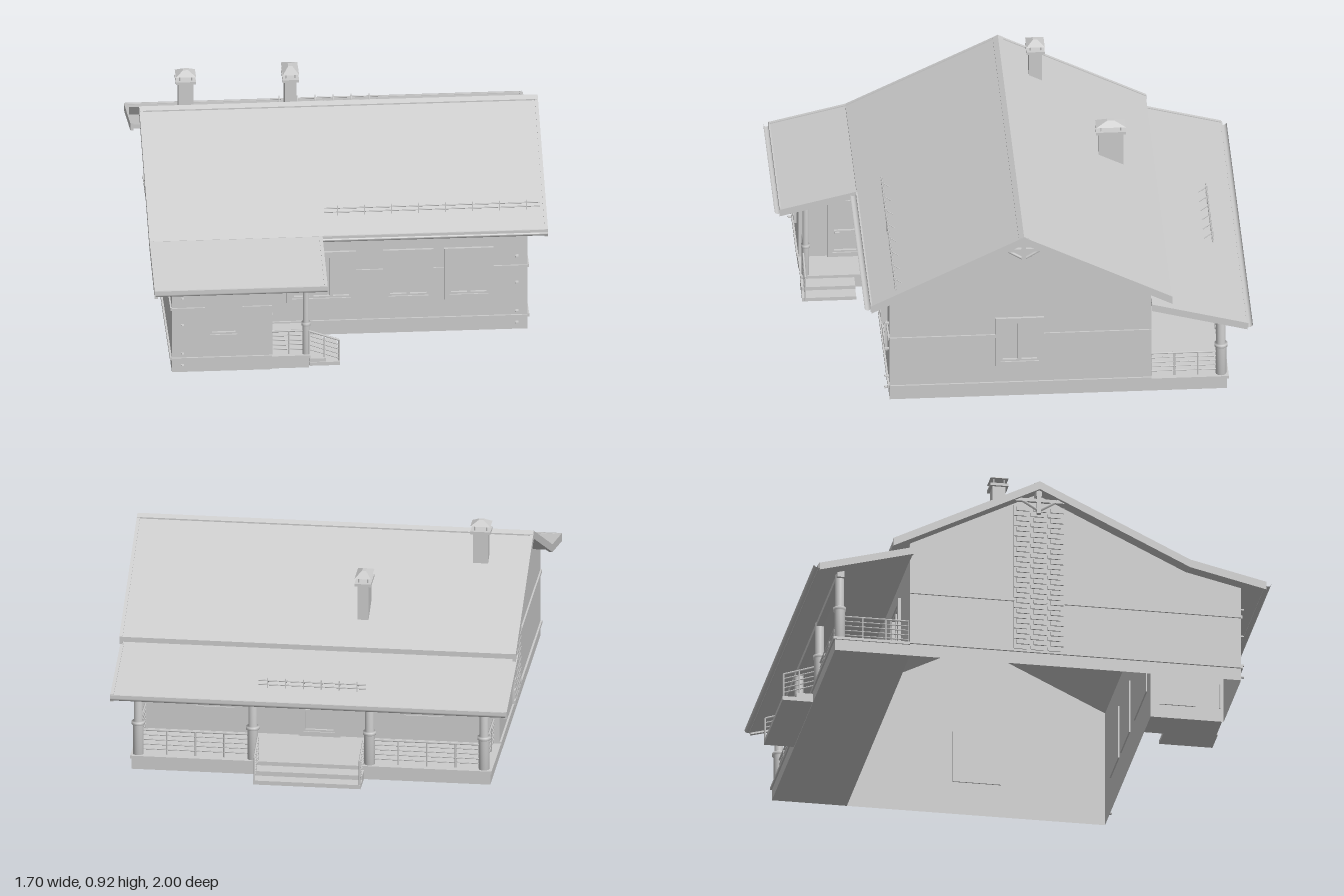
import * as THREE from 'three';
import { mergeGeometries } from 'three/addons/utils/BufferGeometryUtils.js';

const solid = new THREE.MeshStandardMaterial({ color: 0xcccccc });
const thin = new THREE.MeshStandardMaterial({ color: 0xcccccc, side: THREE.DoubleSide });

// Height of the main roof's upper surface at depth z
const roofY = z => z < 0 ? 0.82 + z * 0.5 : z < 0.65 ? 0.82 - z * 0.483 : 0.506 - (z - 0.65) * 0.235;
const V = (x, y, z) => new THREE.Vector3(x, y, z);

const box = (x0, x1, y0, y1, z0, z1) =>
  new THREE.BoxGeometry(x1 - x0, y1 - y0, z1 - z0).translate((x0 + x1) / 2, (y0 + y1) / 2, (z0 + z1) / 2);

// Round bar between two points
function bar(a, b, r = 0.003, sides = 6) {
  const d = b.clone().sub(a);
  const g = new THREE.CylinderGeometry(r, r, d.length(), sides);
  g.applyQuaternion(new THREE.Quaternion().setFromUnitVectors(V(0, 1, 0), d.normalize()));
  return g.translate((a.x + b.x) / 2, (a.y + b.y) / 2, (a.z + b.z) / 2);
}

// Profile given as [z, y], extruded from x0 to x1
function extrudeX(pts, x0, x1) {
  const s = new THREE.Shape(pts.map(([z, y]) => new THREE.Vector2(-z, y)));
  return new THREE.ExtrudeGeometry(s, { depth: x1 - x0, bevelEnabled: false }).rotateY(Math.PI / 2).translate(x0, 0, 0);
}
const slab = (line, t, x0, x1) =>
  extrudeX([...line, ...line.slice().reverse().map(([z, y]) => [z, y - t])], x0, x1);

export function createModel() {
  const house = new THREE.Group();
  const add = (name, geos, mat = solid) => {
    const list = [].concat(geos).map(g => g.index ? g.toNonIndexed() : g);
    const m = new THREE.Mesh(mergeGeometries(list), mat);
    m.name = name;
    house.add(m);
  };

  // Wall: outline in its own plane [u, v] with openings [u0, u1, v0, v1, panes, isDoor], turned and moved into place
  function wall(name, outline, openings, turn, x, z) {
    const place = g => g.rotateY(turn).translate(x, 0, z);
    const s = new THREE.Shape(outline.map(p => new THREE.Vector2(...p)));
    const frames = [], panes = [];
    for (const [u0, u1, v0, v1, n, isDoor] of openings) {
      const f = 0.022;
      const rect = (e, C) => new C([[u0 + e, v0 + e], [u1 - e, v0 + e], [u1 - e, v1 - e], [u0 + e, v1 - e]].map(p => new THREE.Vector2(...p)));
      s.holes.push(rect(f * 0.7, THREE.Path));
      const trim = rect(0, THREE.Shape);
      trim.holes.push(rect(f, THREE.Path));
      frames.push(new THREE.ExtrudeGeometry(trim, { depth: 0.018, bevelEnabled: false }).translate(0, 0, -0.006).toNonIndexed?.() ?? trim);
      panes.push(new THREE.PlaneGeometry(u1 - u0 - f, v1 - v0 - f).translate((u0 + u1) / 2, (v0 + v1) / 2, -0.008));
      const w = (u1 - u0 - 2 * f) / n;
      for (let i = 0; i < n; i++) {
        const a = u0 + f + i * w, b = a + w, e = 0.008, c = v0 + f, d = v1 - f;
        frames.push(box(a, a + e, c, d, -0.006, 0.006), box(b - e, b, c, d, -0.006, 0.006),
          box(a, b, c, c + e, -0.006, 0.006), box(a, b, d - e, d, -0.006, 0.006));
        if (isDoor) frames.push(box(a, b, c + 0.09, c + 0.105, -0.006, 0.006), box(a + 0.008, a + 0.03, 0.175, 0.182, 0, 0.016));
      }
    }
    add(name, place(new THREE.ShapeGeometry(s)), thin);
    if (frames.length) {
      add(name + 'Frames', frames.map(g => place(g)));
      add(name + 'Panes', panes.map(g => place(g)), thin);
    }
  }
  const under = z => roofY(z) - 0.02;
  const [L, R, M, F, W, B] = [-0.77, 0.765, -0.345, 0.567, 0.882, -0.547];

  // Walls, open underneath
  wall('frontWall', [[M, 0], [R, 0], [R, under(F)], [M, under(F)]],
    [[-0.26, 0.035, 0.155, 0.395, 3], [0.15, 0.365, 0.155, 0.395, 2], [0.41, 0.62, 0.155, 0.395, 2]], 0, 0, F);
  wall('wingFrontWall', [[L, 0], [M, 0], [M, under(W)], [L, under(W)]], [[-0.63, -0.47, 0.155, 0.395, 1]], 0, 0, W);
  wall('leftGableWall', [[-F, 0], [-B, 0], [-B, under(B)], [0, 0.8], [-F, under(F)]],
    [[-0.118, 0.09, 0.15, 0.385, 2]], Math.PI / 2, R, 0);
  wall('wingSideWall', [[-W, 0], [-F, 0], [-F, under(F)], [-0.65, under(0.65)], [-W, under(W)]],
    [[-0.76, -0.605, 0.06, 0.335, 1, true]], Math.PI / 2, M, 0);
  wall('rightGableWall', [[B, 0], [W, 0], [W, under(W)], [0.65, under(0.65)], [0, 0.8], [B, under(B)]], [], -Math.PI / 2, L, 0);
  wall('backWall', [[-R, 0], [-L, 0], [-L, under(B)], [-R, under(B)]],
    [[-0.09, 0.09, 0.06, 0.36, 1, true], [-0.55, -0.34, 0.155, 0.37, 2], [0.34, 0.55, 0.155, 0.37, 2]], Math.PI, 0, B);

  // Plinth ledge and mid-height band around the walls, interrupted by windows
  const trims = [];
  const along = (y, h, t) => {
    const hi = y > 0.2;
    for (const [a, b] of hi ? [[M, -0.26], [0.035, 0.15], [0.365, 0.41], [0.62, R]] : [[M, R]]) trims.push(box(a, b, y, y + h, F, F + t));
    for (const [a, b] of hi ? [[L, -0.63], [-0.47, M]] : [[L, M]]) trims.push(box(a, b, y, y + h, W, W + t));
    for (const [a, b] of hi ? [[B, -0.09], [0.118, F]] : [[B, F]]) trims.push(box(R, R + t, y, y + h, a, b));
    trims.push(box(L - t, L, y, y + h, B, W));
  };
  along(0.055, 0.014, 0.008);
  along(0.29, 0.014, 0.007);
  add('wallBands', trims);

  // Brick facing up the right gable
  const bricks = [box(L - 0.006, L, 0.06, 0.74, -0.1, 0.12)];
  for (let i = 0; i < 28; i++) for (let j = 0; j < 3; j++) {
    const z = -0.1 + j * 0.0733 + (i % 2) * 0.012;
    bricks.push(box(L - 0.013, L - 0.005, 0.065 + i * 0.024, 0.083 + i * 0.024, z, z + 0.055));
  }
  add('brickFacing', bricks);

  // Roof slabs with raised edge boards
  const X0 = -0.848, X1 = 0.845, XW = -0.115;
  const at = z => [z, roofY(z)];
  const back = [[-0.545, 0.468], [-0.95, 0.362]];
  add('mainRoof', [slab([at(-0.63), at(0), at(0.649)], 0.022, X0, X1)]);
  add('wingRoof', slab([at(0.65), at(0.975)], 0.02, X0, XW));
  add('verandaRoof', slab(back, 0.02, X0, X1));
  const lift = line => line.map(([z, y]) => [z, y + 0.004]);
  add('edgeBoards', [
    slab(lift([at(-0.632), at(0), at(0.649), at(0.977)]), 0.036, X0 - 0.002, X0 + 0.012),
    slab(lift([at(-0.632), at(0), at(0.649)]), 0.036, X1 - 0.012, X1 + 0.002),
    slab(lift([at(0.65), at(0.977)]), 0.032, XW - 0.012, XW + 0.002),
    slab(lift(back), 0.032, X0 - 0.002, X0 + 0.012),
    slab(lift(back), 0.032, X1 - 0.012, X1 + 0.002)]);
  add('ridgeCap', slab([[-0.022, 0.815], [0, 0.826], [0.022, 0.815]], 0.012, X0, X1));

  // Half-round gutters
  const gutter = (x0, x1, y, z) =>
    new THREE.CylinderGeometry(0.014, 0.014, x1 - x0, 10, 1, true, 0, Math.PI)
      .rotateZ(Math.PI / 2).rotateX(Math.PI / 2).rotateX(-Math.PI / 2)
      .scale(1, -1, 1).translate((x0 + x1) / 2, y, z);
  const gutters = [[XW, X1, 0.503, 0.665], [X0, XW, 0.426, 0.985], [X0, X1, 0.358, -0.96]];
  add('gutters', gutters.map(([a, b, y, z]) => {
    const g = gutter(a, b, y, z);
    g.computeBoundingBox();
    // Keep the bowl below the rim
    if (g.boundingBox.max.y > y + 0.005) g.translate(0, -y, 0).scale(1, -1, 1).translate(0, y, 0);
    return g;
  }), thin);
  add('fasciaBoards', [box(XW, X1, 0.482, 0.508, 0.645, 0.653), box(X0, XW, 0.408, 0.432, 0.97, 0.977), box(X0, X1, 0.342, 0.364, -0.955, -0.948)]);

  // Snow guards: rails on short brackets
  const guards = [];
  const guard = (x0, x1, y, z, n) => {
    for (const h of [0.012, 0.03]) guards.push(bar(V(x0, y + h, z), V(x1, y + h, z), 0.003));
    for (let i = 0; i < n; i++) {
      const x = x0 + (x1 - x0) * (i + 0.5) / n;
      guards.push(box(x - 0.002, x + 0.002, y - 0.005, y + 0.042, z - 0.004, z + 0.004));
      guards.push(bar(V(x, y + 0.035, z), V(x, y + 0.01, z - Math.sign(z) * 0.035), 0.002));
    }
  };
  guard(-0.1, 0.82, roofY(0.545), 0.545, 8);
  guard(-0.235, 0.225, 0.39, -0.845, 6);
  add('snowGuards', guards);

  // Gable braces and ridge beam
  const braces = [box(X0 + 0.02, X1 - 0.02, 0.765, 0.795, -0.012, 0.012)];
  for (const x of [0.815, -0.82]) {
    braces.push(box(x - 0.009, x + 0.009, 0.685, 0.8, -0.009, 0.009), box(x - 0.007, x + 0.007, 0.738, 0.752, -0.11, 0.11));
    for (const s of [-1, 1]) braces.push(bar(V(x, 0.7, 0), V(x, 0.752, s * 0.085), 0.007));
  }
  add('gableBraces', braces);

  // Chimneys with flared collar and hipped cap
  const chimney = (name, x, z, w, d, y0, y1) => {
    const parts = [box(x - w / 2, x + w / 2, y0, y1, z - d / 2, z + d / 2)];
    const c = 0.011;
    parts.push(box(x - w / 2 - c, x + w / 2 + c, y1 - 0.012, y1, z - d / 2 - c, z + d / 2 + c));
    for (const sx of [-1, 1]) for (const sz of [-1, 1]) {
      const px = x + sx * w * 0.4, pz = z + sz * d * 0.4;
      parts.push(bar(V(px, y1, pz), V(px, y1 + 0.024, pz), 0.003));
    }
    const hip = new THREE.CylinderGeometry(0.25 * Math.SQRT1_2, Math.SQRT1_2, 0.02, 4).toNonIndexed();
    hip.rotateY(Math.PI / 4).scale(w + 2 * c, 1, d + 2 * c).translate(x, y1 + 0.033, z);
    hip.computeVertexNormals();
    parts.push(hip);
    add(name, parts);
  };
  chimney('tallChimney', -0.643, -0.145, 0.064, 0.056, 0.7, 0.88);
  chimney('wideChimney', -0.178, -0.436, 0.048, 0.105, 0.55, 0.742);

  // Veranda, porch and their steps
  add('verandaFloor', [box(L, R, 0, 0.05, -0.87, B), box(L - 0.006, R + 0.006, 0.05, 0.062, -0.877, B)]);
  add('verandaSteps', [box(-0.23, 0.23, 0.022, 0.042, -0.94, -0.87), box(-0.23, 0.23, 0.004, 0.022, -1.0, -0.87)]);
  add('porchFloor', [box(M, -0.185, 0, 0.05, F, 0.875), box(M, -0.18, 0.05, 0.062, F, 0.885)]);
  add('porchSteps', [box(-0.185, -0.115, 0.03, 0.046, 0.655, 0.885), box(-0.185, -0.055, 0.012, 0.028, 0.655, 0.885)]);

  // Turned posts with a thicker foot and a collar
  const post = (x, z, top, r) => new THREE.LatheGeometry(
    [[0, 0.06], [r * 1.2, 0.06], [r * 1.2, 0.195], [r * 1.5, 0.197], [r * 1.5, 0.21], [r, 0.212], [r, top], [0, top]]
      .map(p => new THREE.Vector2(...p)), 16).translate(x, 0, z);
  const postX = [-0.74, -0.25, 0.25, 0.74];
  add('posts', [...postX.map(x => post(x, -0.845, 0.375, 0.019)), post(-0.198, 0.862, 0.44, 0.013)]);
  add('eaveBeams', [box(L, R, 0.345, 0.372, -0.86, -0.83), box(M, -0.185, 0.415, 0.436, 0.85, 0.875)]);

  // Railings: five bars between uprights
  const rails = [];
  const railing = (a, b, n = 2) => {
    for (let i = 0; i < 5; i++) {
      const up = V(0, 0.025 + i * 0.0215, 0);
      rails.push(bar(a.clone().add(up), b.clone().add(up), i === 4 ? 0.0045 : 0.003));
    }
    for (let i = 0; i <= n; i++) {
      const p = a.clone().lerp(b, i / n);
      rails.push(bar(p, p.clone().add(V(0, 0.112, 0)), 0.004));
    }
  };
  for (const s of [-1, 1]) {
    railing(V(s * 0.74, 0.06, -0.845), V(s * 0.25, 0.06, -0.845), 4);
    railing(V(s * 0.745, 0.06, -0.845), V(s * 0.745, 0.06, B), 3);
    railing(V(s * 0.225, 0.06, -0.86), V(s * 0.225, 0.015, -0.995));
  }
  railing(V(M, 0.06, 0.865), V(-0.198, 0.06, 0.865));
  railing(V(-0.185, 0.06, 0.872), V(-0.058, 0.014, 0.872));
  add('railings', rails);

  // Small pipe brackets at the corners
  const brackets = [];
  for (const [x, z] of [[-0.725, W], [0.72, F]])
    for (const y of [0.035, 0.09, 0.225, 0.35]) brackets.push(box(x - 0.006, x + 0.006, y - 0.003, y + 0.003, z, z + 0.02));
  add('pipeBrackets', brackets);

  return house;
}
